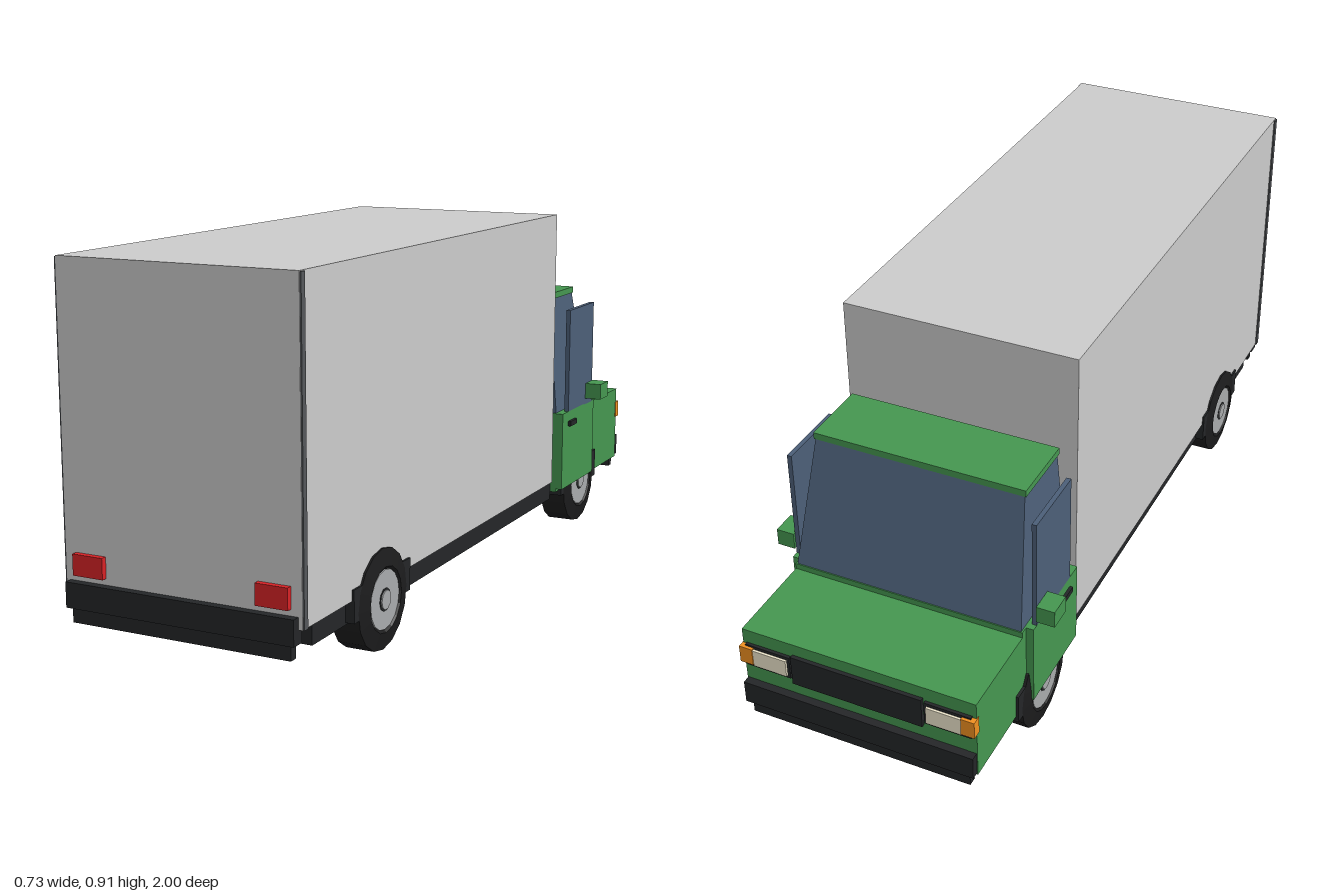
import * as THREE from 'three';

const paint = (color) => new THREE.MeshStandardMaterial({ color, flatShading: true });

export function createModel() {
  const truck = new THREE.Group();
  truck.name = 'boxTruck';
  const green = paint(0x459650), grey = paint(0xcccccc), black = paint(0x242628);
  const glass = paint(0x4c5f78), red = paint(0xd82226), amber = paint(0xf09020);
  const cream = paint(0xeee6cc), steel = paint(0xa8aaac), edge = paint(0x54575a);
  const rubber = paint(0x1c1c1d);

  const add = (name, geometry, material, parent = truck) => {
    const mesh = new THREE.Mesh(geometry, material);
    mesh.name = name;
    parent.add(mesh);
    return mesh;
  };
  // Box given by its limits on each axis
  const box = (name, material, x0, x1, y0, y1, z0, z1) => {
    const g = new THREE.BoxGeometry(Math.abs(x1 - x0), y1 - y0, z1 - z0);
    g.translate((x0 + x1) / 2, (y0 + y1) / 2, (z0 + z1) / 2);
    return add(name, g, material);
  };
  const pair = (name, material, x0, x1, ...rest) => {
    for (const s of [1, -1]) box(name, material, s * x0, s * x1, ...rest);
  };

  // Chassis and cargo body
  box('chassis', black, -0.285, 0.285, 0.1, 0.16, -0.47, 0.91);
  box('cabMount', black, -0.265, 0.265, 0.11, 0.18, -0.48, -0.44);
  box('cargoBox', grey, -0.302, 0.302, 0.157, 0.91, -0.44, 0.98);
  pair('cargoEdge', edge, 0.3, 0.306, 0.157, 0.908, 0.963, 0.979);

  // Tail end
  box('rearBumper', black, -0.292, 0.292, 0.125, 0.185, 0.965, 1);
  box('rearBumperLip', black, -0.28, 0.28, 0.09, 0.125, 0.97, 0.992);
  pair('tailLight', red, 0.195, 0.275, 0.2, 0.25, 0.978, 0.994);

  // Engine hood and lower cab
  box('hood', green, -0.3, 0.3, 0.12, 0.333, -0.98, -0.73);
  box('cabBody', green, -0.3, 0.3, 0.12, 0.348, -0.742, -0.475);

  // Glazed upper cab, tapering inward with a raked windscreen
  const cabin = new THREE.BoxGeometry(2, 0.325, 1);
  const p = cabin.attributes.position;
  for (let i = 0; i < p.count; i++) {
    const top = p.getY(i) > 0, front = p.getZ(i) < 0;
    p.setXYZ(i,
      Math.sign(p.getX(i)) * (top ? 0.268 : 0.296),
      top ? 0.67 : 0.345,
      front ? (top ? -0.656 : -0.74) : -0.48);
  }
  add('cabinGlass', cabin, glass);
  box('roof', green, -0.272, 0.272, 0.668, 0.685, -0.658, -0.477);

  // Doors, side windows, handles and mirrors
  pair('door', green, 0.295, 0.319, 0.13, 0.348, -0.722, -0.472);
  pair('sideWindow', glass, 0.307, 0.319, 0.345, 0.637, -0.705, -0.515);
  pair('doorHandle', black, 0.317, 0.327, 0.306, 0.32, -0.565, -0.515);
  pair('mirror', green, 0.32, 0.366, 0.363, 0.407, -0.71, -0.648);

  // Nose: grille, lamps and bumper
  box('grille', black, -0.168, 0.168, 0.222, 0.302, -0.99, -0.97);
  pair('headlight', cream, 0.18, 0.268, 0.242, 0.288, -0.994, -0.97);
  pair('headlightSurround', black, 0.173, 0.29, 0.234, 0.296, -0.988, -0.97);
  pair('turnSignal', amber, 0.268, 0.302, 0.246, 0.292, -0.996, -0.972);
  box('frontBumper', black, -0.298, 0.298, 0.125, 0.185, -1, -0.965);
  box('frontBumperLip', black, -0.285, 0.285, 0.09, 0.125, -0.99, -0.968);

  // Wheels: lathe axis turned onto x, with rim, hub and stepped arch
  const tireProfile = [[0, 0], [0.1, 0], [0.12, 0.008], [0.12, 0.079], [0.078, 0.087], [0.07, 0.08], [0, 0.08]]
    .map(([r, h]) => new THREE.Vector2(r, h));
  const tire = new THREE.LatheGeometry(tireProfile, 16);
  const rim = new THREE.CylinderGeometry(0.071, 0.071, 0.006, 16).translate(0, 0.081, 0);
  const hub = new THREE.CylinderGeometry(0.023, 0.023, 0.008, 10).translate(0, 0.084, 0);
  const hubRing = new THREE.CylinderGeometry(0.028, 0.028, 0.004, 10).translate(0, 0.083, 0);
  for (const z of [0.62, -0.64]) {
    pair('wheelArch', black, 0.22, 0.307, 0.105, 0.183, z - 0.14, z + 0.14);
    for (const s of [1, -1]) {
      const wheel = new THREE.Group();
      wheel.name = z > 0 ? 'rearWheel' : 'frontWheel';
      add('tire', tire, rubber, wheel);
      add('rim', rim, steel, wheel);
      add('hubRing', hubRing, black, wheel);
      add('hub', hub, steel, wheel);
      wheel.rotation.z = -s * Math.PI / 2;
      wheel.position.set(s * 0.228, 0.122, z);
      truck.add(wheel);
    }
  }
  return truck;
}
